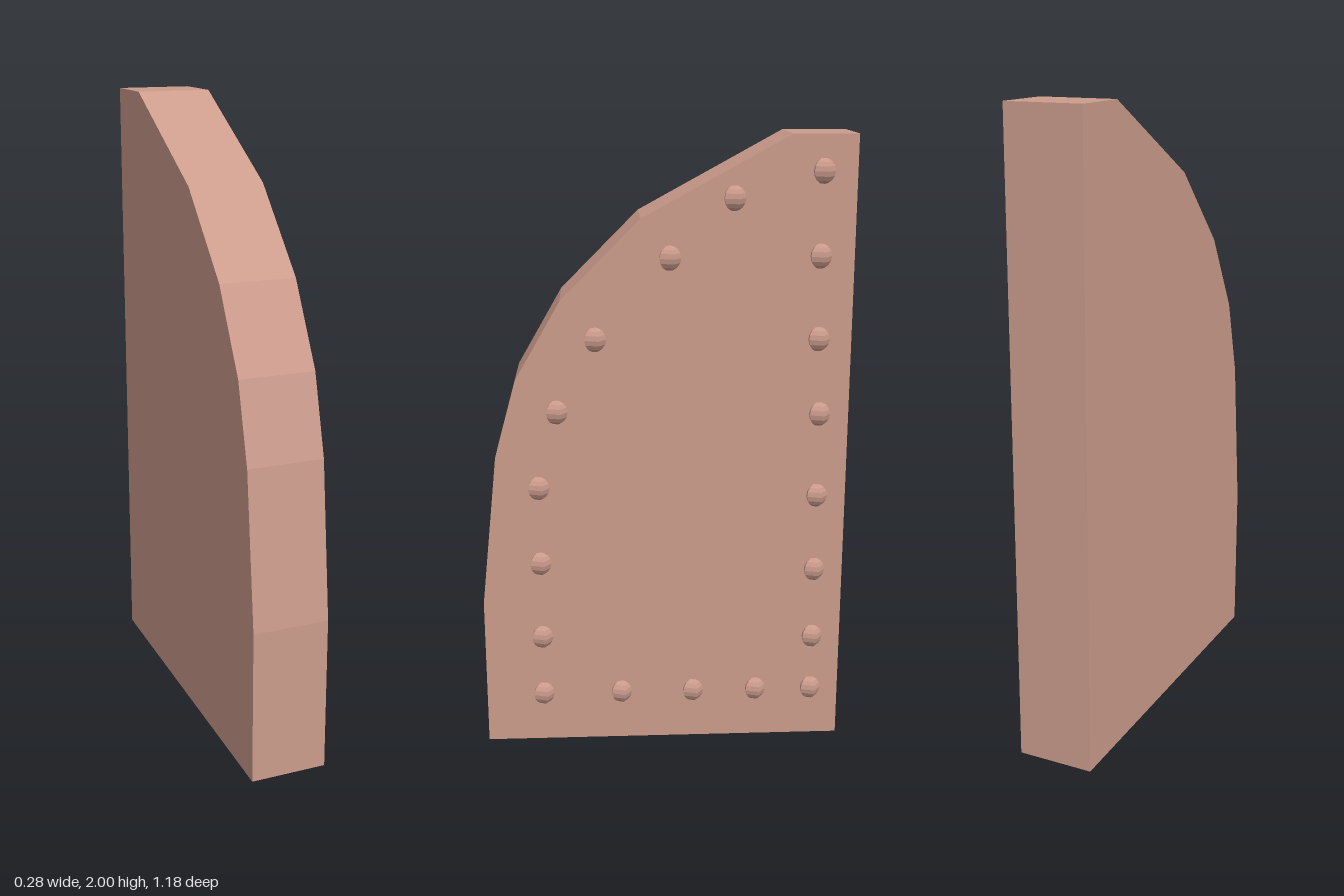
import * as THREE from 'three';

export function createModel() {
  const model = new THREE.Group();
  const material = new THREE.MeshStandardMaterial({ color: 0xcc9c8c, flatShading: true });

  // Slab: side outline as [z, y], extruded across x
  const outline = [
    [-0.59, 0], [0.59, 0], [0.59, 0.5], [0.535, 1], [0.465, 1.25],
    [0.32, 1.5], [0.07, 1.75], [-0.39, 2], [-0.59, 2],
  ];
  const shape = new THREE.Shape(outline.map(([z, y]) => new THREE.Vector2(-z, y)));
  const slabGeometry = new THREE.ExtrudeGeometry(shape, { depth: 0.245, bevelEnabled: false });
  slabGeometry.rotateY(Math.PI / 2).translate(-0.14, 0, 0);
  const slab = new THREE.Mesh(slabGeometry, material);
  slab.name = 'slab';
  model.add(slab);

  // Rivets: five-sided domes following the edge on the left face, as [z, y]
  const rivetSpots = [
    // bottom row
    [0.4, 0.17], [0.14, 0.17], [-0.1, 0.17], [-0.31, 0.17], [-0.497, 0.17],
    // curved edge
    [0.4, 0.376], [0.4, 0.636], [0.4, 0.895], [0.337, 1.146],
    [0.213, 1.378], [-0.02, 1.63], [-0.217, 1.81],
    // straight edge
    [-0.497, 0.36], [-0.497, 0.6], [-0.497, 0.857], [-0.497, 1.13],
    [-0.487, 1.373], [-0.485, 1.633], [-0.487, 1.89],
  ];
  const rivetGeometry = new THREE.SphereGeometry(0.04, 5, 8).rotateY(-Math.PI / 2);
  const rivets = new THREE.Group();
  rivets.name = 'rivets';
  for (const [z, y] of rivetSpots) {
    const rivet = new THREE.Mesh(rivetGeometry, material);
    rivet.name = 'rivet';
    rivet.position.set(0.098, y, z);
    rivets.add(rivet);
  }
  model.add(rivets);

  return model;
}
